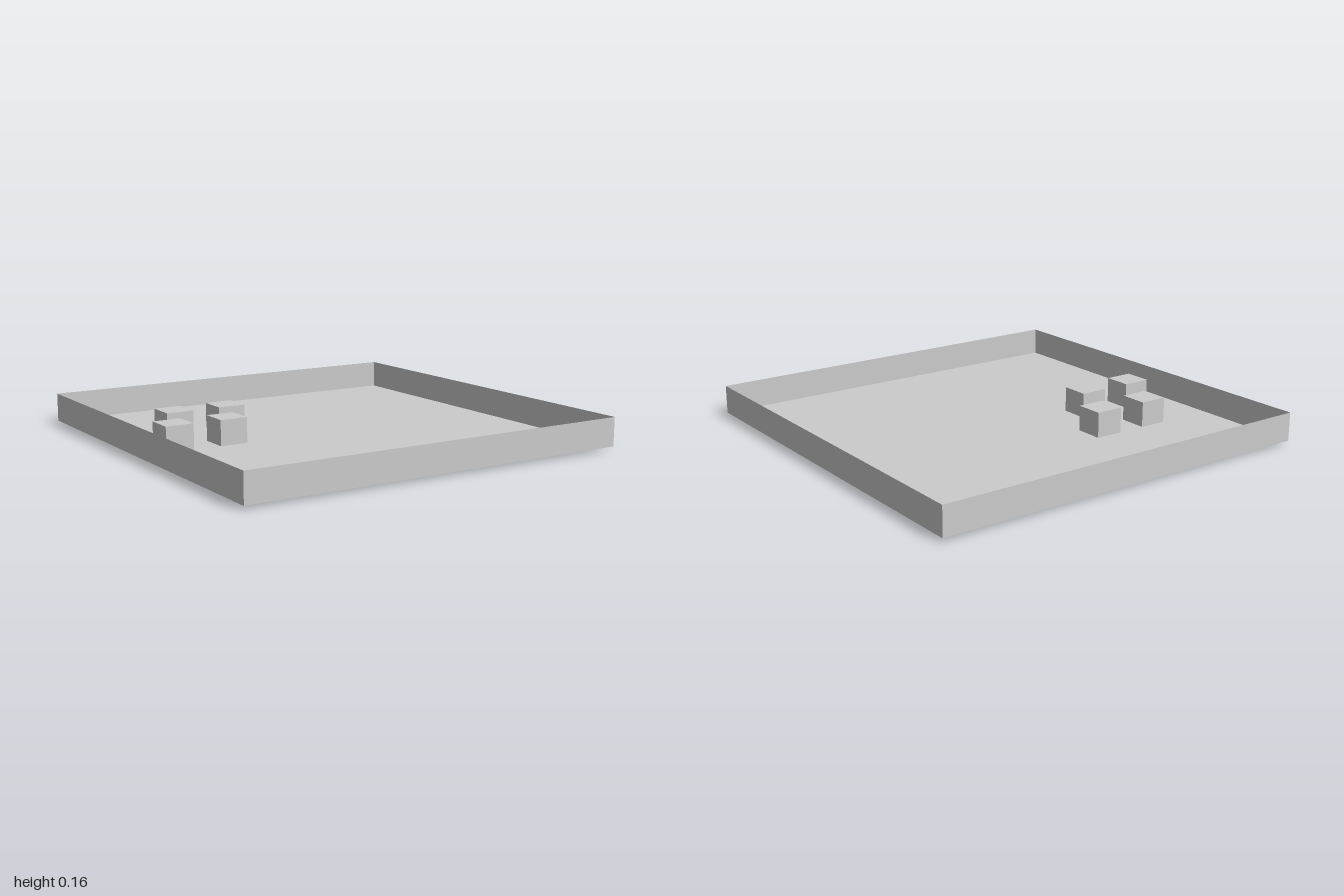
import * as THREE from 'three';

const UNIT = 2 / 14; // cube edge and wall height
const FLOOR_Y = 0.016;

export function createModel() {
  const model = new THREE.Group();
  const sheet = new THREE.MeshStandardMaterial({ color: 0xcccccc, side: THREE.DoubleSide });
  const solid = new THREE.MeshStandardMaterial({ color: 0xcccccc });

  // Square tray floor
  const floor = new THREE.Mesh(new THREE.PlaneGeometry(2, 2).rotateX(-Math.PI / 2), sheet);
  floor.name = 'trayFloor';
  floor.position.y = FLOOR_Y;
  model.add(floor);

  // Four paper-thin walls, one per side
  const wallGeometry = new THREE.PlaneGeometry(2, UNIT).translate(0, FLOOR_Y + UNIT / 2, 1);
  ['frontWall', 'leftWall', 'backWall', 'rightWall'].forEach((name, i) => {
    const wall = new THREE.Mesh(wallGeometry, sheet);
    wall.name = name;
    wall.rotation.y = i * Math.PI / 2;
    model.add(wall);
  });

  // Two staggered rows of cubes, poking slightly through the floor
  const cubes = new THREE.Group();
  cubes.name = 'cubes';
  const cubeGeometry = new THREE.BoxGeometry(UNIT, UNIT, UNIT);
  for (const [x, z] of [[-5.5, -0.5], [-3.5, -0.5], [-4.5, -2.5], [-2.5, -2.5]]) {
    const cube = new THREE.Mesh(cubeGeometry, solid);
    cube.name = 'cube';
    cube.position.set(x * UNIT, UNIT / 2, z * UNIT);
    cubes.add(cube);
  }
  model.add(cubes);

  return model;
}
